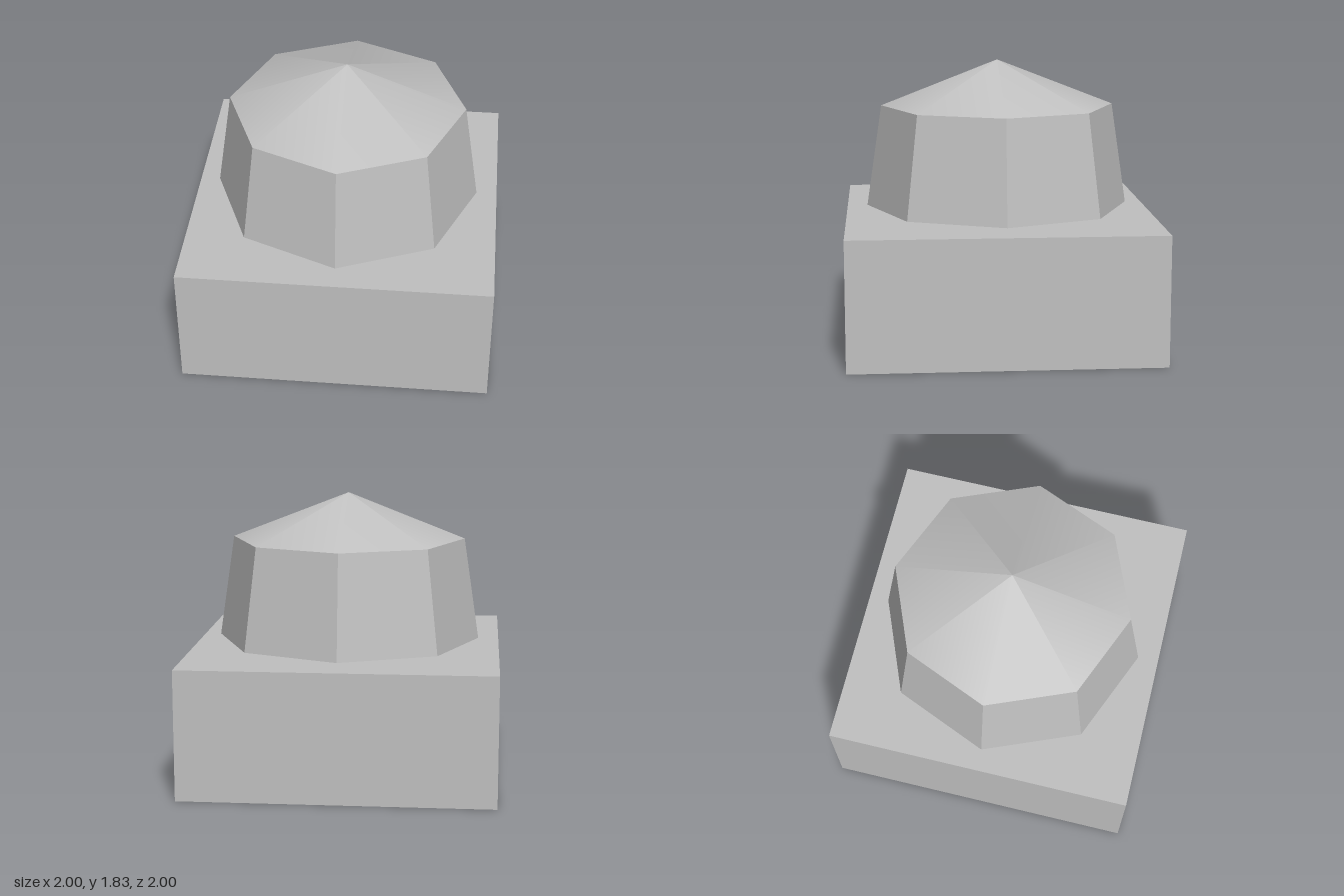
import * as THREE from 'three';

export function createModel() {
  const model = new THREE.Group();
  const grey = new THREE.MeshStandardMaterial({ color: 0xc0c0c0 });
  grey.name = 'plain grey';

  const SIDES = 8;
  const BASE_TOP = 0.835, WALL_BOTTOM = 0.87, WALL_TOP = 1.535, PEAK = 1.833;
  const R_BOTTOM = 0.865, R_TOP = 0.766;

  // Adds a part whose vertical extent runs from y0 to y1
  function add(name, geometry, y0, y1) {
    const mesh = new THREE.Mesh(geometry, grey);
    mesh.name = name;
    mesh.position.y = (y0 + y1) / 2;
    model.add(mesh);
  }

  // Square block
  add('base', new THREE.BoxGeometry(2, BASE_TOP, 2), 0, BASE_TOP);

  // Tapered octagonal wall with crisp facets
  const wall = new THREE.CylinderGeometry(R_TOP, R_BOTTOM, WALL_TOP - WALL_BOTTOM, SIDES, 1, true).toNonIndexed();
  wall.computeVertexNormals();
  add('wall', wall, WALL_BOTTOM, WALL_TOP);

  // Smoothly shaded pointed roof
  add('roof', new THREE.CylinderGeometry(0, R_TOP, PEAK - WALL_TOP, SIDES, 1, true), WALL_TOP, PEAK);

  // Shallow inverted cone sinking into the base
  const tip = WALL_BOTTOM - 0.1;
  add('underside', new THREE.CylinderGeometry(R_BOTTOM, 0, WALL_BOTTOM - tip, SIDES, 1, true), tip, WALL_BOTTOM);

  return model;
}
